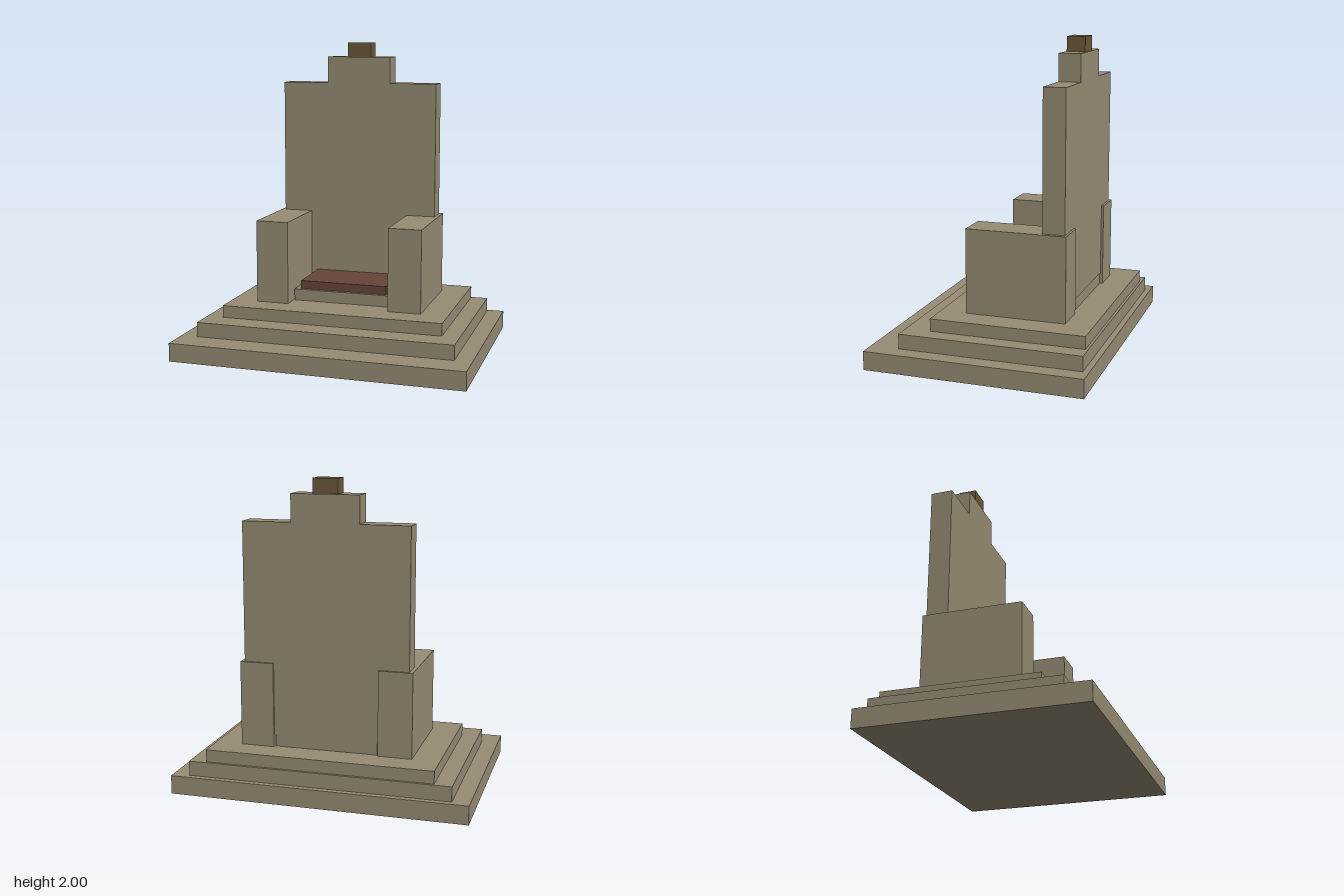
import * as THREE from 'three';

export function createModel() {
  const throne = new THREE.Group();
  throne.name = 'throne';

  const material = (name, color) => {
    const m = new THREE.MeshStandardMaterial({ color });
    m.name = name;
    return m;
  };
  const stone = material('stone', 0x978c74);
  const fabric = material('red fabric', 0x66453a);
  const bronze = material('bronze', 0x6b5839);

  // Box given by its lower and upper limits on each axis
  const block = (name, mat, [x0, x1], [y0, y1], [z0, z1]) => {
    const mesh = new THREE.Mesh(new THREE.BoxGeometry(x1 - x0, y1 - y0, z1 - z0), mat);
    mesh.position.set((x0 + x1) / 2, (y0 + y1) / 2, (z0 + z1) / 2);
    mesh.name = name;
    throne.add(mesh);
  };

  // Stepped base
  block('lowerStep', stone, [-0.955, 0.955], [0, 0.12], [-0.7, 0.7]);
  block('middleStep', stone, [-0.845, 0.845], [0.12, 0.215], [-0.662, 0.513]);
  block('upperStep', stone, [-0.733, 0.733], [0.215, 0.295], [-0.645, 0.35]);

  // Seat and cushion
  block('seat', stone, [-0.332, 0.332], [0.295, 0.37], [-0.452, 0.07]);
  block('cushion', fabric, [-0.295, 0.295], [0.37, 0.425], [-0.312, 0.048]);

  // Arm blocks
  block('leftArm', stone, [0.34, 0.558], [0.295, 0.84], [-0.47, 0.178]);
  block('rightArm', stone, [-0.558, -0.34], [0.295, 0.84], [-0.47, 0.178]);

  // Backrest with a raised centre, extruded from its outline
  const outline = new THREE.Shape([
    [-0.533, 0.37], [0.533, 0.37], [0.533, 1.73], [0.218, 1.73],
    [0.218, 1.905], [-0.218, 1.905], [-0.218, 1.73], [-0.533, 1.73],
  ].map(([x, y]) => new THREE.Vector2(x, y)));
  const backrest = new THREE.Mesh(
    new THREE.ExtrudeGeometry(outline, { depth: 0.143, bevelEnabled: false }), stone);
  backrest.position.z = -0.455;
  backrest.name = 'backrest';
  throne.add(backrest);

  // Ornament on top
  block('topOrnament', bronze, [-0.081, 0.081], [1.905, 2], [-0.443, -0.324]);

  return throne;
}
